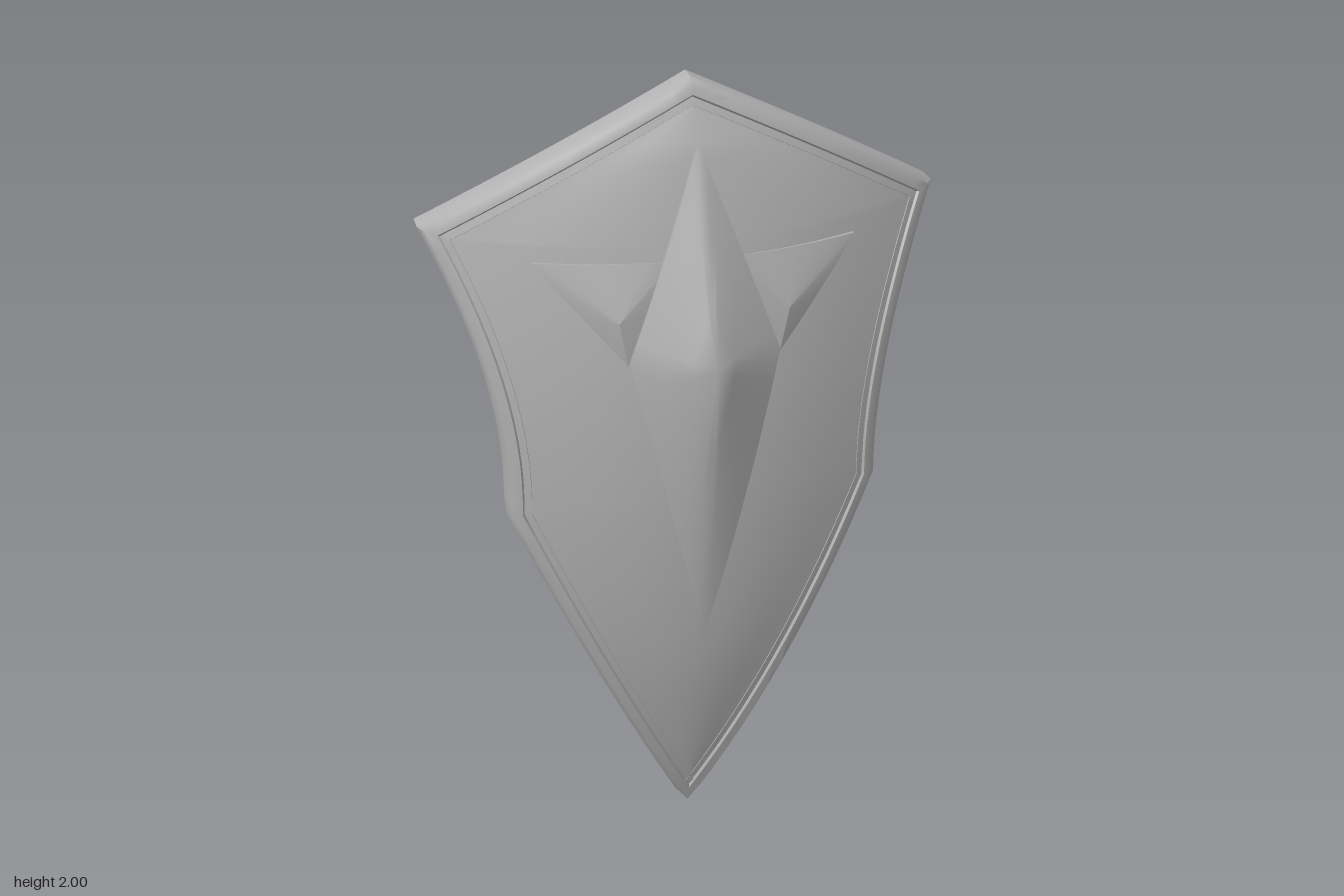
import * as THREE from 'three';
import { toCreasedNormals } from 'three/addons/utils/BufferGeometryUtils.js';

const V2 = (x, y) => new THREE.Vector2(x, y);

// Point on the doubly curved shield surface, offset by dz
function at(x, y, dz) {
  const k = y > 1.15 ? 0.187 : 0.14;
  return new THREE.Vector3(x, Math.max(y, 0), 0.095 - k * (y - 1.15) ** 2 - 0.49 * x * x + dz);
}

// Skin through closed rings (counter-clockwise from the front)
function loft(rings, crease, wrap = false) {
  const pos = [];
  const tri = (a, b, c) => {
    if (a.equals(b) || b.equals(c) || a.equals(c)) return;
    for (const p of [a, b, c]) pos.push(p.x, p.y, p.z);
  };
  const last = wrap ? rings.length : rings.length - 1;
  for (let i = 0; i < last; i++) {
    const r = rings[i], s = rings[(i + 1) % rings.length], n = r.length;
    for (let j = 0; j < n; j++) {
      const k = (j + 1) % n;
      tri(r[j], r[k], s[k]);
      tri(r[j], s[k], s[j]);
    }
  }
  const geo = new THREE.BufferGeometry();
  geo.setAttribute('position', new THREE.Float32BufferAttribute(pos, 3));
  return toCreasedNormals(geo, crease);
}

// Right half of the outline, from bottom tip to top
function halfOutline() {
  const tip = V2(0, -0.025), waist = V2(0.457, 0.965), corner = V2(0.615, 1.665), top = V2(0, 2);
  const curves = [[tip, V2(0.238, 0.45), waist], [waist, V2(0.44, 1.3), corner], [corner, V2(0.32, 1.855), top]];
  const pts = [tip];
  for (const c of curves) pts.push(...new THREE.QuadraticBezierCurve(...c).getPoints(14).slice(1));
  return pts;
}

// Mitred inward offset of a closed loop
function inset(loop, d) {
  const n = loop.length;
  const inward = (a, b) => V2(a.y - b.y, b.x - a.x).normalize();
  return loop.map((p, i) => {
    const n1 = inward(loop[(i + n - 1) % n], p), n2 = inward(p, loop[(i + 1) % n]);
    return n1.clone().add(n2).multiplyScalar(d / (1 + n1.dot(n2))).add(p);
  });
}

// Polygon with every edge divided into equal steps
function divided(corners, steps) {
  const out = [];
  corners.forEach((a, i) => {
    const b = corners[(i + 1) % corners.length];
    for (let s = 0; s < steps; s++) out.push(a.clone().lerp(b, s / steps));
  });
  return out;
}

export function createModel() {
  const group = new THREE.Group();
  const metal = new THREE.MeshStandardMaterial({ color: 0xb0b0b0 });
  metal.name = 'grey metal';
  const add = (name, geo) => {
    const mesh = new THREE.Mesh(geo, metal);
    mesh.name = name;
    group.add(mesh);
  };

  // Rim: grooved section [inset, depth] swept round the outline
  const half = halfOutline();
  const loop = [...half, ...half.slice(1, -1).reverse().map(p => V2(-p.x, p.y))];
  const section = [
    [0, -0.012], [0.01, 0], [0.032, 0], [0.037, -0.007], [0.053, -0.005], [0.058, -0.014],
    [0.058, -0.06], [0.053, -0.067], [0.037, -0.067], [0.032, -0.074], [0.01, -0.074], [0, -0.062],
  ];
  add('rim', loft(section.map(([d, z]) => inset(loop, d).map(p => at(p.x, p.y, z))), 0.7, true));

  // Curved panel: front skin bulging toward the middle, plain back skin
  const edge = inset(loop, 0.05).slice(0, half.length).reverse();
  for (const [name, side, dz, rise] of [['frontPanel', 1, -0.007, 0.016], ['backPanel', -1, -0.06, 0]]) {
    const cols = 20, geo = new THREE.PlaneGeometry(1, 1, cols, edge.length - 1);
    const pos = geo.attributes.position;
    for (let i = 0; i < pos.count; i++) {
      const e = edge[Math.floor(i / (cols + 1))];
      const u = (i % (cols + 1)) / cols * 2 - 1;
      const bulge = rise * (1 - u * u) ** 1.5 * Math.min(1, e.x / 0.2);
      const p = at(side * e.x * u, e.y, dz + bulge);
      pos.setXYZ(i, p.x, p.y, p.z);
    }
    geo.computeVertexNormals();
    add(name, geo);
  }

  // Raised central diamond, smooth and nearly flat behind
  const diamond = divided([V2(0, 0.61), V2(0.178, 1.38), V2(0, 1.87), V2(-0.178, 1.38)], 10);
  const front = diamond.map(p => at(p.x, p.y, 0.021));
  const back = diamond.map(p => at(p.x * 0.94, 1.25 + (p.y - 1.25) * 0.97, -0.065));
  const toward = (ring, p, t) => ring.map(v => v.clone().lerp(p, t));
  const peak = new THREE.Vector3(0, 1.39, 0.2), backMid = new THREE.Vector3(0, 1.3, 0.012);
  add('diamondFront', loft([0, 0.35, 0.7, 1].map(t => toward(front, peak, t)), Math.PI));
  add('diamondEdge', loft([back, front], 0.6));
  add('diamondBack', loft([1, 0.7, 0.35, 0].map(t => toward(back, backMid, t)), Math.PI));

  // Faceted triangles beside the diamond
  for (const s of [1, -1]) {
    const corners = [V2(s * 0.18, 1.37), V2(s * 0.38, 1.61), V2(s * 0.07, 1.61)];
    if (s < 0) corners.reverse();
    const tri = divided(corners, 6);
    const f = tri.map(p => at(p.x, p.y, 0.011)), b = tri.map(p => at(p.x, p.y - 0.01, -0.07));
    const top = at(s * 0.2, 1.48, 0.032), under = at(s * 0.2, 1.47, -0.08);
    add(s > 0 ? 'leftTriangle' : 'rightTriangle',
      loft([toward(b, under, 1), b, f, toward(f, top, 1)], 0.3));
  }
  return group;
}
